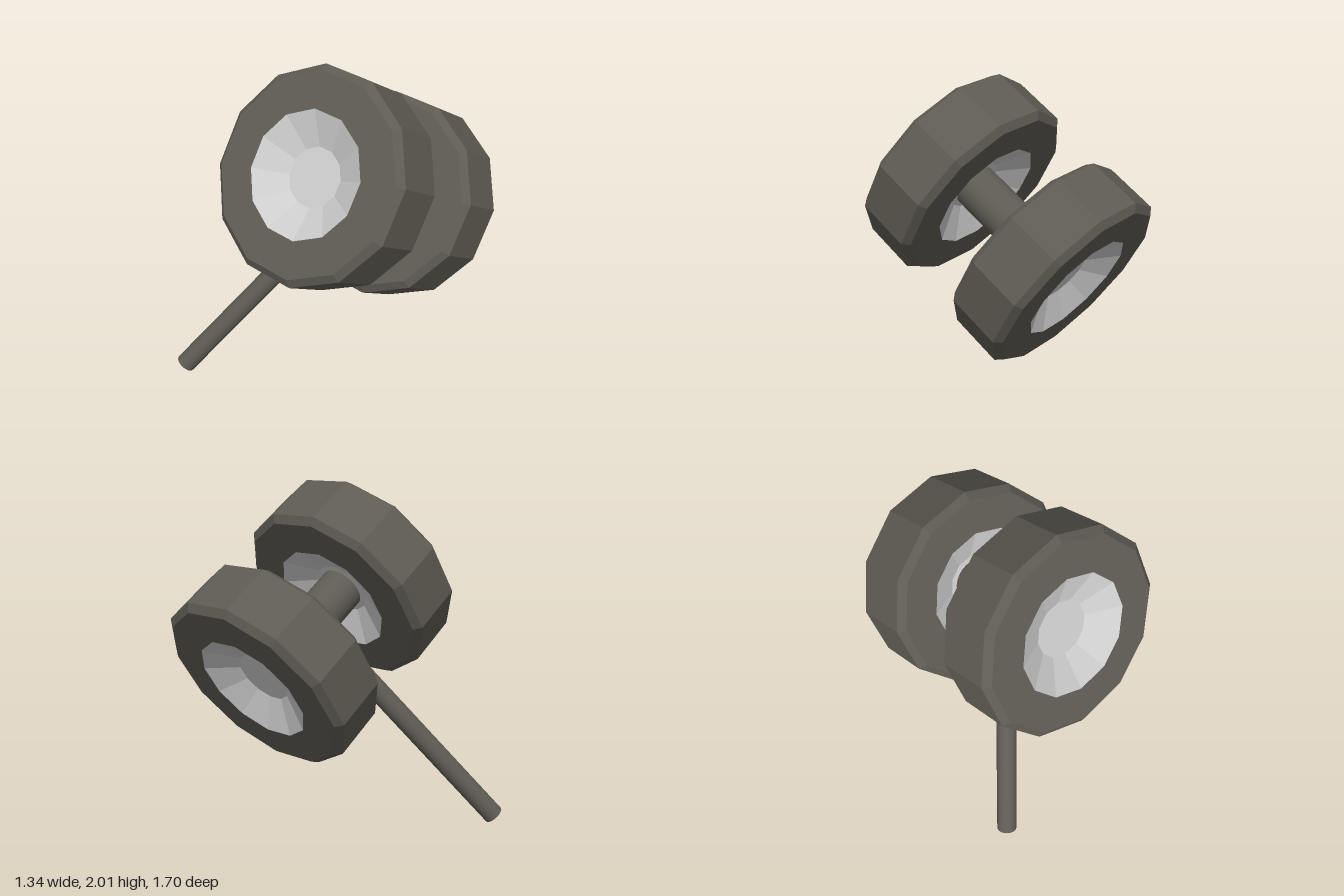
import * as THREE from 'three';

const SIDES = 12;
const HALF = 0.19;      // half the width of a wheel
const SPACING = 0.746;  // distance between wheel centres

export function createModel() {
  const model = new THREE.Group();
  model.name = 'wheelPair';

  const darkFlat = new THREE.MeshStandardMaterial({ color: 0x5e5b53, flatShading: true });
  const darkSmooth = new THREE.MeshStandardMaterial({ color: 0x5e5b53 });
  const light = new THREE.MeshStandardMaterial({ color: 0xcccccc, flatShading: true });

  const add = (parent, name, geometry, material) => {
    const mesh = new THREE.Mesh(geometry, material);
    mesh.name = name;
    parent.add(mesh);
    return mesh;
  };
  const lathe = (profile) =>
    new THREE.LatheGeometry(profile.map(([r, y]) => new THREE.Vector2(r, y)), SIDES);

  // Tilted frame whose local y runs along the axle
  const centre = new THREE.Vector3(-0.002, 1.237, -0.078);
  const axis = new THREE.Vector3(0.181, 0.516, 0.838).normalize();
  const across = new THREE.Vector3(0.96, -0.28, -0.03);
  across.addScaledVector(axis, -across.dot(axis)).normalize();
  const third = new THREE.Vector3().crossVectors(across, axis);
  const wheels = new THREE.Group();
  wheels.name = 'wheelsAndAxle';
  wheels.quaternion.setFromRotationMatrix(new THREE.Matrix4().makeBasis(across, axis, third));
  wheels.position.copy(centre);
  model.add(wheels);

  // Bevelled tyre and the dished rim on either side
  const tyre = lathe([
    [0.35, -HALF], [0.555, -HALF], [0.595, -HALF + 0.035],
    [0.595, HALF - 0.035], [0.555, HALF], [0.35, HALF],
  ]);
  const outerRim = lathe([[0.35, HALF], [0.165, HALF - 0.1], [0, HALF - 0.1]]);
  const innerRim = lathe([[0, -HALF + 0.1], [0.165, -HALF + 0.1], [0.35, -HALF]]);

  for (const [name, side] of [['frontWheel', 1], ['backWheel', -1]]) {
    const wheel = new THREE.Group();
    wheel.name = name;
    wheel.position.y = (side * SPACING) / 2;
    add(wheel, 'tyre', tyre, darkFlat);
    add(wheel, 'frontRim', outerRim, light);
    add(wheel, 'backRim', innerRim, light);
    wheels.add(wheel);
  }

  // Axle between the two hubs
  add(wheels, 'axle', new THREE.CylinderGeometry(0.13, 0.13, SPACING - 2 * HALF + 0.2, 24), darkSmooth);

  // Strut from the ground up to the middle of the axle
  const foot = new THREE.Vector3(-0.625, 0.04, 0.795);
  const run = centre.clone().sub(foot);
  const strut = add(model, 'strut', new THREE.CylinderGeometry(0.06, 0.06, run.length(), 20), darkSmooth);
  strut.position.copy(foot).addScaledVector(run, 0.5);
  strut.quaternion.setFromUnitVectors(new THREE.Vector3(0, 1, 0), run.clone().normalize());

  return model;
}
